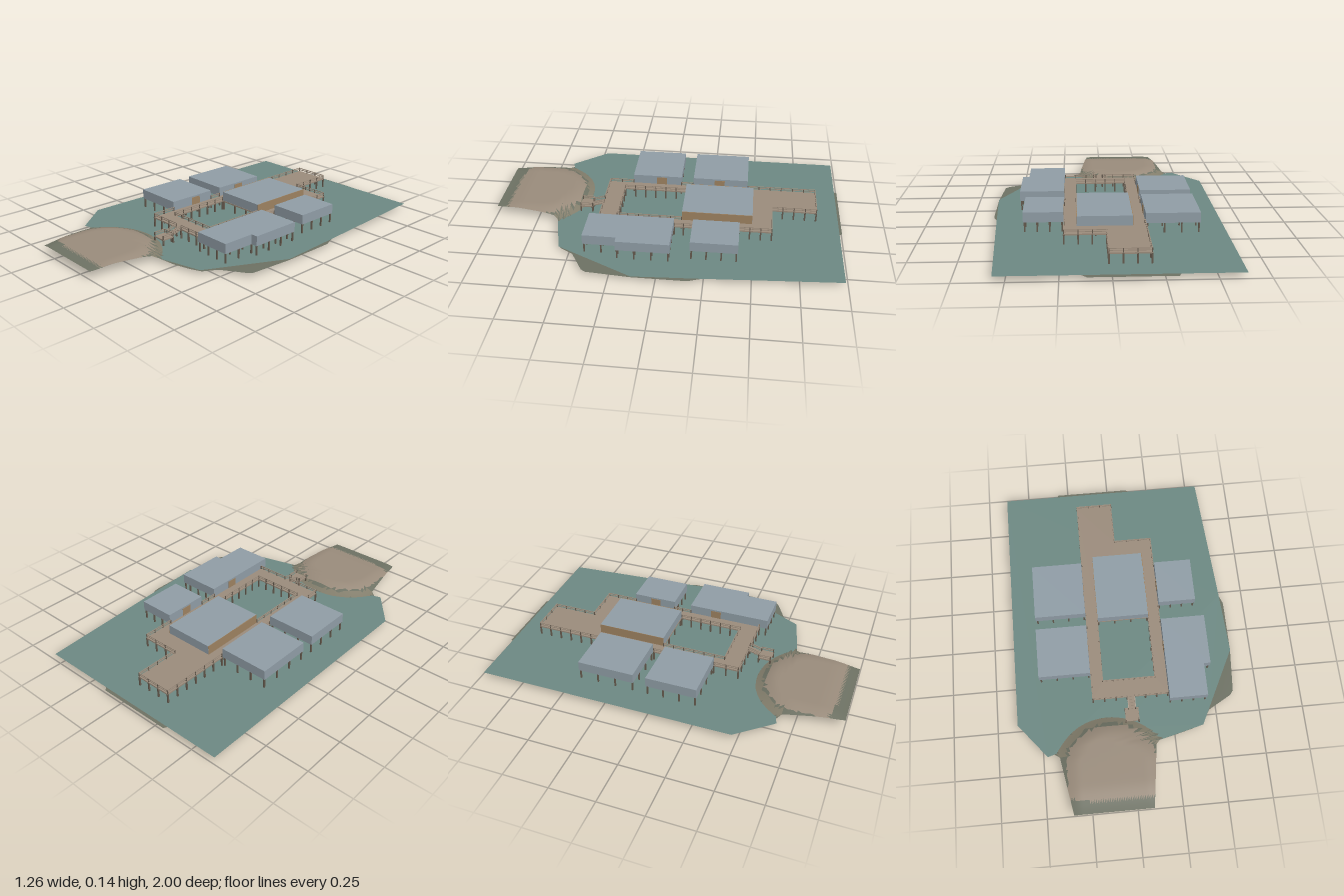
import * as THREE from 'three';

const material = (name, color, side = THREE.FrontSide) => {
  const m = new THREE.MeshStandardMaterial({ color, side });
  m.name = name;
  return m;
};

export function createModel() {
  const root = new THREE.Group();
  root.name = 'stiltVillage';
  const water = material('water', 0x6c8882, THREE.DoubleSide);
  const sand = material('sand', 0x998b7b, THREE.DoubleSide);
  const shore = material('shore', 0x827d6b, THREE.DoubleSide);
  const ground = material('ground', 0x6d7163, THREE.DoubleSide);
  const wall = material('houseBlue', 0x8f9ca5);
  const deckWood = material('deckWood', 0x9a8b7b);
  const panelWood = material('panelWood', 0x9c8160);
  const legWood = material('legWood', 0x655a4e);

  const add = (name, geometry, mat, parent = root) => {
    const mesh = new THREE.Mesh(geometry, mat);
    mesh.name = name;
    parent.add(mesh);
    return mesh;
  };
  const group = (name) => {
    const g = new THREE.Group();
    g.name = name;
    root.add(g);
    return g;
  };
  // outlines are given as [x, z]
  const outline = (pts) => new THREE.Shape(pts.map(([x, z]) => new THREE.Vector2(x, -z)));
  const slab = (name, shape, y, h, mat, parent) => {
    const g = new THREE.ExtrudeGeometry(shape, { depth: h, bevelEnabled: false });
    g.rotateX(-Math.PI / 2).translate(0, y, 0);
    return add(name, g, mat, parent);
  };
  const rect = (x0, z0, x1, z1) => [[x0, z0], [x0, z1], [x1, z1], [x1, z0]];
  const beam = (name, a, b, size, mat, parent) => {
    const m = add(name, new THREE.BoxGeometry(size, size, a.distanceTo(b)), mat, parent);
    m.position.copy(a).lerp(b, 0.5);
    m.lookAt(b);
  };

  // Ground: rows between a left and a right edge, rising into a beach mound
  const leftEdge = [[-1, -0.31], [-0.98, -0.32], [-0.585, -0.59], [0.4, -0.62], [0.47, -0.61],
    [0.645, -0.46], [0.66, -0.41], [1, -0.35]];
  const rightEdge = [[-1, 0.12], [-0.98, 0.14], [-0.56, 0.5], [-0.22, 0.61], [-0.17, 0.63], [0.13, 0.63],
    [0.39, 0.61], [0.475, 0.46], [0.56, 0.41], [0.63, 0.14], [1, 0.09]];
  const edgeAt = (edge, z) => {
    const i = Math.max(1, edge.findIndex((p) => p[0] >= z - 1e-6));
    const [[z0, x0], [z1, x1]] = [edge[i - 1], edge[i]];
    return x0 + (x1 - x0) * (z - z0) / (z1 - z0);
  };
  const shoreDist = (x, z) => Math.hypot((x + 0.12) / 0.3, Math.min(0, z - 0.74) / 0.265);
  const height = (x, z) => {
    const e = shoreDist(x, z);
    const bed = 0.015 - 0.01 * Math.exp(-((x - 0.12) ** 2 + (z - 0.25) ** 2) / 0.06)
      + 0.005 * THREE.MathUtils.smoothstep(Math.hypot(x / 0.62, z), 0.8, 1.05);
    const land = 0.062 - 0.014 * THREE.MathUtils.smoothstep(z, 0.85, 1);
    return THREE.MathUtils.lerp(land, bed, THREE.MathUtils.smoothstep(e, 0.6, 1.22));
  };
  const nx = 36, nz = 80, pos = [], faces = [[], [], []];
  for (let r = 0; r <= nz; r++) {
    const z = -1 + 2 * r / nz;
    const l = edgeAt(leftEdge, z), w = edgeAt(rightEdge, z) - l;
    for (let c = 0; c <= nx; c++) {
      const x = l + w * c / nx;
      pos.push(x, height(x, z), z);
    }
  }
  const face = (...ids) => {
    const x = ids.reduce((s, i) => s + pos[i * 3], 0) / 3;
    const z = ids.reduce((s, i) => s + pos[i * 3 + 2], 0) / 3;
    const e = shoreDist(x, z);
    const kind = e < 0.84 && z < 0.94 - 0.25 * Math.max(0, -x - 0.24) ? 0
      : e > 0.89 && e < 1.05 && z < 0.68 ? 1 : 2;
    faces[kind].push(...ids);
  };
  for (let r = 0; r < nz; r++) for (let c = 0; c < nx; c++) {
    const a = r * (nx + 1) + c, d = a + nx + 1;
    face(a, d, a + 1);
    face(a + 1, d, d + 1);
  }
  const land = new THREE.BufferGeometry();
  land.setAttribute('position', new THREE.Float32BufferAttribute(pos, 3));
  land.setIndex(faces.flat());
  let start = 0;
  faces.forEach((f, i) => {
    land.addGroup(start, f.length, i);
    start += f.length;
  });
  land.computeVertexNormals();
  add('groundAndBeach', land, [sand, shore, ground]);

  // Water sheet, tucked under the beach
  const sea = new THREE.ShapeGeometry(outline([[-0.635, -0.985], [-0.635, 0.47], [-0.475, 0.665], [-0.41, 0.645],
    [-0.33, 0.58], [-0.2, 0.54], [-0.03, 0.535], [0.08, 0.56], [0.14, 0.63], [0.415, 0.56], [0.46, 0.47],
    [0.63, 0.13], [0.61, -0.22], [0.56, -0.985]]));
  sea.rotateX(-Math.PI / 2).translate(0, 0.025, 0);
  add('water', sea, water);

  // Deck with a courtyard opening
  const deckY = 0.083;
  const deckShape = outline([[-0.2, -0.86], [-0.2, 0.375], [0.235, 0.375], [0.235, -0.605], [0.015, -0.605], [0.015, -0.86]]);
  deckShape.holes.push(new THREE.Path(rect(-0.13, -0.095, 0.165, 0.27).map(([x, z]) => new THREE.Vector2(x, -z))));
  slab('deck', deckShape, deckY - 0.008, 0.008, deckWood);

  // Stairs and landing down to the beach
  const stairs = group('stairs');
  for (let i = 0; i < 4; i++) {
    slab('step', outline(rect(0, 0.375 + i * 0.0165, 0.04, 0.3915 + i * 0.0165)), 0.071 - i * 0.005, 0.008, deckWood, stairs);
  }
  slab('landing', outline(rect(-0.022, 0.44, 0.055, 0.51)), 0.053, 0.008, deckWood, stairs);

  // Railings, whose posts carry on down as legs
  const railings = group('railings');
  const legs = group('legs');
  const leg = (x, z, top) => {
    const bottom = Math.max(0, height(x, z) - 0.006);
    const g = new THREE.BoxGeometry(0.008, top - bottom, 0.008);
    add('leg', g, legWood, legs).position.set(x, (top + bottom) / 2, z);
  };
  const railing = (pts) => {
    for (let i = 1; i < pts.length; i++) {
      const [a, b] = [pts[i - 1], pts[i]].map(([x, z, y = deckY]) => new THREE.Vector3(x, y, z));
      const up = (p, h) => p.clone().setY(p.y + h);
      for (const h of [0.011, 0.021]) beam('rail', up(a, h), up(b, h), 0.004, deckWood, railings);
      const n = Math.max(1, Math.round(a.distanceTo(b) / 0.065));
      for (let k = 0; k <= n; k++) {
        const p = a.clone().lerp(b, k / n);
        beam('railPost', p, up(p, 0.022), 0.005, legWood, railings);
        leg(p.x, p.z, p.y - 0.004);
      }
    }
  };
  [
    [[-0.197, -0.13], [-0.197, -0.06]],
    [[-0.197, 0.23], [-0.197, 0.372], [0, 0.372], [0, 0.44, 0.061], [-0.02, 0.44, 0.061], [-0.02, 0.508, 0.061]],
    [[0.232, 0.372], [0.04, 0.372], [0.04, 0.44, 0.061], [0.053, 0.44, 0.061], [0.053, 0.508, 0.061]],
    [[0.232, -0.06], [0.232, -0.165]],
    [[0.232, -0.42], [0.232, -0.602], [0.012, -0.602], [0.012, -0.857], [-0.197, -0.857], [-0.197, -0.46]],
    [[-0.133, -0.095], [-0.133, 0.273], [0.168, 0.273], [0.168, -0.095]],
  ].forEach(railing);

  // Flat-roofed houses on legs
  const houseTop = 0.137;
  const house = (name, pts) => slab(name, outline(pts), deckY - 0.002, houseTop - deckY + 0.002, wall);
  house('leftBackHouse', rect(-0.493, -0.457, -0.2, -0.133));
  house('leftFrontHouse', rect(-0.493, -0.06, -0.2, 0.23));
  house('rightBackHouse', rect(0.235, -0.423, 0.45, -0.165));
  house('rightFrontHouse', [[0.235, -0.06], [0.235, 0.418], [0.45, 0.418], [0.45, 0.232], [0.488, 0.232], [0.488, -0.06]]);
  house('centreHouse', rect(-0.13, -0.492, 0.165, -0.097));
  for (const [x0, z0, x1, z1] of [[-0.485, -0.45, -0.21, -0.14], [-0.485, -0.052, -0.21, 0.222],
    [0.243, -0.415, 0.442, -0.173], [0.243, -0.052, 0.442, 0.41], [0.48, -0.052, 0.48, 0.224],
    [-0.125, -0.485, 0.16, -0.102]]) {
    const cols = x1 > x0 ? 3 : 0, rows = Math.round((z1 - z0) / 0.09);
    for (let i = 0; i <= cols; i++) for (let k = 0; k <= rows; k++) {
      leg(x0 + (cols ? (x1 - x0) * i / cols : 0), z0 + (z1 - z0) * k / rows, deckY - 0.001);
    }
  }

  // Wooden panels and doors facing the walkways
  const panel = (name, x, z, length, h = 0.054) =>
    add(name, new THREE.BoxGeometry(0.004, h, length), panelWood).position.set(x, deckY + h / 2, z);
  panel('centreHousePanel', 0.165, -0.2945, 0.394);
  panel('centreHousePanel', -0.13, -0.2945, 0.394);
  panel('door', -0.2, -0.29, 0.06, 0.045);
  panel('door', -0.2, 0.06, 0.06, 0.045);
  panel('door', 0.235, -0.29, 0.06, 0.045);
  panel('door', 0.235, 0.1, 0.06, 0.045);
  return root;
}
